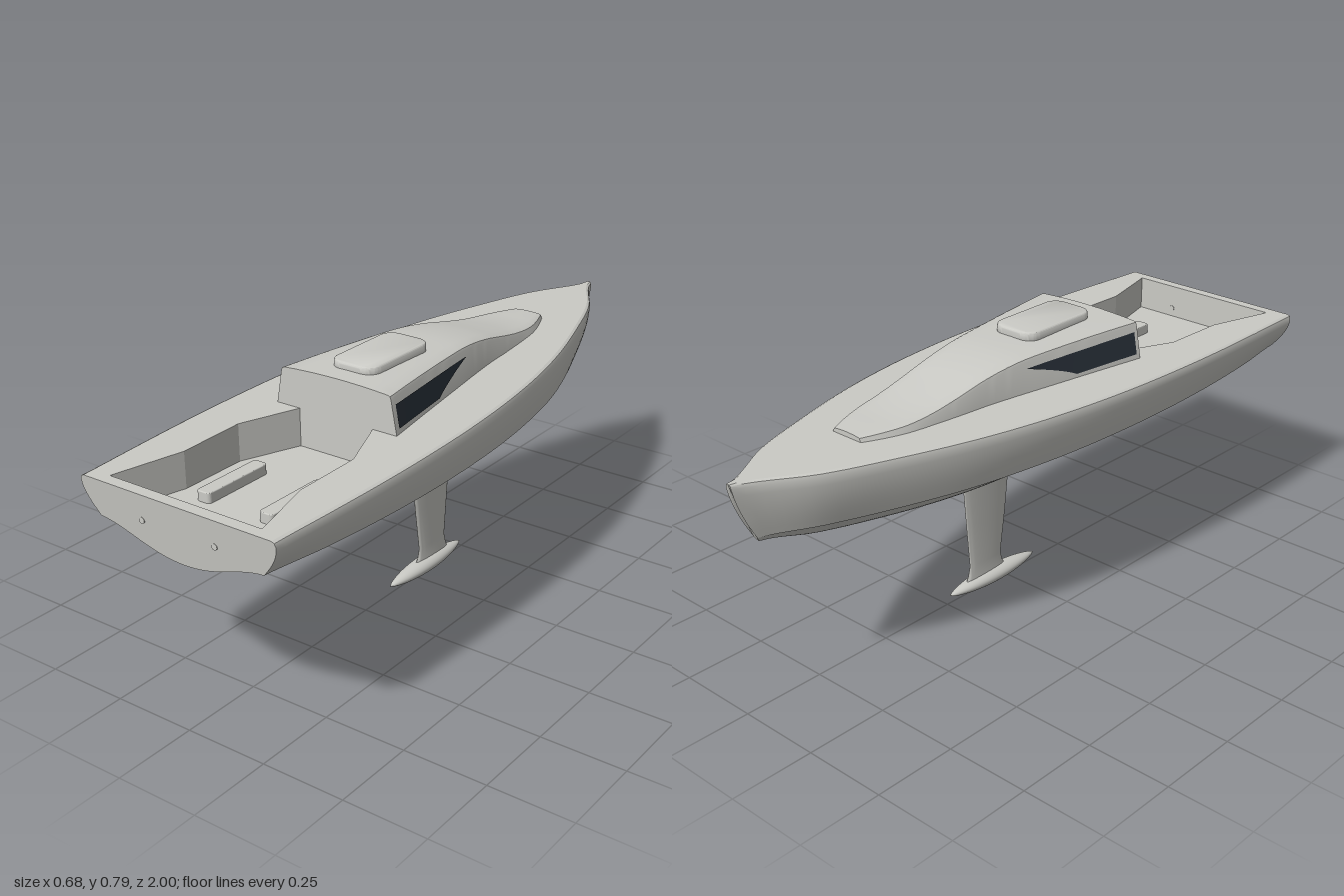
import * as THREE from 'three';
import { toCreasedNormals } from 'three/addons/utils/BufferGeometryUtils.js';

// Smooth interpolation of every column of a table, t from 0 to 1
const sample = (rows, t) => rows[0].map((_, k) =>
  new THREE.SplineCurve(rows.map(r => new THREE.Vector2(r[k], 0))).getPoint(t).x);

// Full cross-section from a half one that runs from the centre line outwards
const mirrored = half => [...half.slice(1).reverse().map(([x, y, z]) => [-x, y, z]), ...half];

// Skin over a row of equal cross-sections, with optional end caps
function loft(rings, { flip = false, capStart = false, capEnd = false, crease = 0.5 } = {}) {
  const n = rings[0].length, pos = rings.flat(2), idx = [];
  const tri = (a, b, c) => idx.push(...(flip ? [a, c, b] : [a, b, c]));
  for (let j = 0; j < rings.length - 1; j++) {
    for (let i = 0; i < n - 1; i++) {
      const a = j * n + i;
      tri(a, a + 1, a + n);
      tri(a + 1, a + n + 1, a + n);
    }
  }
  const cap = (j, front) => {
    const r = rings[j], c = pos.length / 3;
    pos.push(...r[0].map((v, k) => (v + r[n - 1][k]) / 2));
    for (let i = 0; i < n - 1; i++) {
      const a = j * n + i;
      front ? tri(c, a + 1, a) : tri(c, a, a + 1);
    }
  };
  if (capStart) cap(0, true);
  if (capEnd) cap(rings.length - 1, false);
  const g = new THREE.BufferGeometry();
  g.setAttribute('position', new THREE.Float32BufferAttribute(pos, 3));
  g.setIndex(idx);
  return toCreasedNormals(g, crease);
}

const deckY = z => 0.643 + 0.016 * (1 - z);

// Hull stations from stern to bow: sheer half width, chine half width, keel height
const HULL = [
  [0.32, 0.27, 0.475], [0.33, 0.295, 0.455], [0.338, 0.31, 0.435], [0.34, 0.315, 0.41],
  [0.335, 0.31, 0.382], [0.32, 0.295, 0.37], [0.293, 0.267, 0.372], [0.25, 0.225, 0.388],
  [0.19, 0.163, 0.413], [0.118, 0.09, 0.443], [0.01, 0.008, 0.485],
];

function hullRing(t) {
  const [hs, hc, ky] = sample(HULL, t);
  const zs = 1 - 2 * t, sy = deckY(zs), cy = 0.535 - 0.035 * t;
  const r = Math.min(0.012, hs * 0.5);
  const half = [];
  for (let i = 0; i <= 14; i++) { // bottom, keel to chine
    const s = i / 14;
    const f = 0.8 * (0.5 - 0.5 * Math.cos(Math.PI * s ** 1.15)) + 0.2 * s ** 1.5;
    half.push([hc * s, ky + (cy - ky) * f]);
  }
  for (let i = 1; i <= 7; i++) { // topside, chine to sheer
    const q = i / 7;
    half.push([hc + (hs - hc) * Math.sin(q * Math.PI / 2), cy + (sy - 0.014 - cy) * q]);
  }
  half.push([hs - r * 0.3, sy - 0.004], [hs - r, sy]);
  return mirrored(half.map(([x, y]) => {
    const d = Math.max(0, (sy - y) / (sy - ky));
    return [x, y, zs - 0.02 * (1 - t) ** 4 * d + 0.08 * t ** 4 * d ** 1.5];
  }));
}

// Cabin stations: z, base half width, roof half width, roof height
const CABIN = [
  [0.37, 0.205, 0.186, 0.77], [0.2, 0.18, 0.163, 0.77], [0, 0.152, 0.137, 0.766],
  [-0.1, 0.138, 0.126, 0.76], [-0.2, 0.126, 0.117, 0.745], [-0.3, 0.119, 0.111, 0.723],
  [-0.4, 0.11, 0.104, 0.703], [-0.48, 0.1, 0.094, 0.692], [-0.55, 0.08, 0.074, 0.687],
  [-0.61, 0.055, 0.05, 0.683],
];

function cabinStation(t) {
  const [z, b, w, top] = sample(CABIN, t);
  const base = deckY(z) - 0.003, h = top - base;
  const r = Math.min(0.01, h * 0.3), edge = top - Math.min(0.007, h * 0.15);
  return { z, b, w, top, base, r, edge };
}

function cabinRing(t) {
  const { z, b, w, top, base, r, edge } = cabinStation(t);
  const roof = w - r;
  const half = [0, 0.25, 0.5, 0.75, 1].map(u => [roof * u, top - (top - edge) * u * u, z]);
  half.push([w - r * 0.3, edge - r * 0.3, z], [w, edge - r, z], [b, base, z]);
  return mirrored(half);
}

// Side window strip lying just outside the cabin side
function windowGeometry(side) {
  const rings = [];
  for (let i = 0; i <= 28; i++) {
    const { z, b, w, base, r, edge } = cabinStation(0.016 + 0.276 * i / 28);
    const k = THREE.MathUtils.clamp((0.12 - z) / 0.18, 0, 1);
    const hi = 0.735 - 0.006 * (i / 28), lo = 0.669 + (hi - 0.669) * k ** 0.85;
    rings.push([lo, hi].map(y =>
      [side * (b + (w - b) * (y - base) / (edge - r - base) + 0.003), y, z]));
  }
  return loft(rings, { flip: side > 0 });
}

// Flat block with rounded corners and a soft top edge, standing on y = 0
function pad(w, l, h, r, bevel) {
  const x = w / 2 - bevel, y = l / 2 - bevel, s = new THREE.Shape();
  s.absarc(x - r, y - r, r, 0, Math.PI / 2);
  s.absarc(r - x, y - r, r, Math.PI / 2, Math.PI);
  s.absarc(r - x, r - y, r, Math.PI, Math.PI * 1.5);
  s.absarc(x - r, r - y, r, Math.PI * 1.5, Math.PI * 2);
  return new THREE.ExtrudeGeometry(s, {
    depth: h - bevel, bevelThickness: bevel, bevelSize: bevel, bevelSegments: 4, curveSegments: 8,
  }).rotateX(-Math.PI / 2);
}

export function createModel() {
  const boat = new THREE.Group();
  boat.name = 'sailboatHull';
  const paint = new THREE.MeshStandardMaterial({ color: 0xcacac5, side: THREE.DoubleSide });
  paint.name = 'light grey paint';
  const glass = new THREE.MeshStandardMaterial({ color: 0x2a323b, side: THREE.DoubleSide });
  glass.name = 'dark glass';
  const add = (name, geometry, material = paint) => {
    const m = new THREE.Mesh(geometry, material);
    m.name = name;
    boat.add(m);
    return m;
  };

  // Hull with transom
  const rings = [];
  for (let i = 0; i <= 60; i++) rings.push(hullRing(i / 60));
  add('hull', loft(rings, { flip: true, capStart: true, capEnd: true }));

  // Deck with the cockpit opening
  const well = [[0.125, 0.37], [0.195, 0.545], [0.195, 0.755], [0.25, 0.965]];
  const wellLoop = [...well, ...well.map(([x, z]) => [-x, z]).reverse()];
  const toShape = pts => pts.map(([x, z]) => new THREE.Vector2(x, -z));
  const starboard = rings.map(r => r[r.length - 1]).map(([x, , z]) => [x, z]);
  const outline = [...starboard, ...starboard.map(([x, z]) => [-x, z]).reverse()];
  const deckShape = new THREE.Shape(toShape(outline));
  deckShape.holes.push(new THREE.Path(toShape(wellLoop)));
  const deck = new THREE.ShapeGeometry(deckShape).rotateX(-Math.PI / 2);
  const p = deck.attributes.position;
  for (let i = 0; i < p.count; i++) p.setY(i, deckY(p.getZ(i)));
  add('deck', deck);

  // Cockpit walls and floor
  const floorY = 0.54;
  const closed = [...wellLoop, wellLoop[0]];
  add('cockpitWalls', loft([
    closed.map(([x, z]) => [x, floorY, z]),
    closed.map(([x, z]) => [x, deckY(z), z]),
  ], { crease: 0.1 }));
  add('cockpitFloor', new THREE.ShapeGeometry(new THREE.Shape(toShape(wellLoop)))
    .rotateX(-Math.PI / 2)).position.y = floorY;

  // Foot rails and drain tubes
  for (const side of [-1, 1]) {
    const label = side > 0 ? 'left' : 'right';
    add(label + 'FootRail', pad(0.045, 0.23, 0.03, 0.008, 0.003)).position.set(side * 0.105, floorY, 0.675);
    add(label + 'Drain', new THREE.CylinderGeometry(0.009, 0.009, 0.03, 20).rotateX(Math.PI / 2))
      .position.set(side * 0.12, 0.567, 0.978);
    add(label + 'Window', windowGeometry(side), glass);
  }

  // Cabin and roof hatch
  const cabin = [];
  for (let i = 0; i <= 45; i++) cabin.push(cabinRing(i / 45));
  add('cabin', loft(cabin, { capStart: true, capEnd: true, crease: 0.6 }));
  add('roofHatch', toCreasedNormals(pad(0.152, 0.28, 0.03, 0.035, 0.008), 0.7)).position.set(0, 0.76, 0.165);

  // Keel fin: height, aft z, fore z, half thickness
  const fin = [
    [0.035, 0.0, -0.168, 0.011], [0.055, -0.012, -0.16, 0.009], [0.085, -0.02, -0.152, 0.008],
    [0.22, 0.0, -0.165, 0.009], [0.41, 0.022, -0.182, 0.011],
  ].map(([y, aft, fore, h]) => Array.from({ length: 33 }, (_, i) => {
    const a = i / 32 * Math.PI * 2;
    return [h * Math.sin(a), y, (aft + fore) / 2 + (aft - fore) / 2 * Math.cos(a)];
  }));
  add('keelFin', loft(fin, { crease: 0.9 }));

  // Ballast bulb
  const profile = Array.from({ length: 25 }, (_, i) => {
    const u = i / 12 - 1;
    return new THREE.Vector2(0.032 * Math.max(0, 1 - u * u) ** 0.75, u * 0.185);
  });
  const bulb = add('ballastBulb', new THREE.LatheGeometry(profile, 32).rotateX(Math.PI / 2));
  bulb.scale.y = 0.72;
  bulb.position.set(0, 0.0231, -0.055);
  return boat;
}
